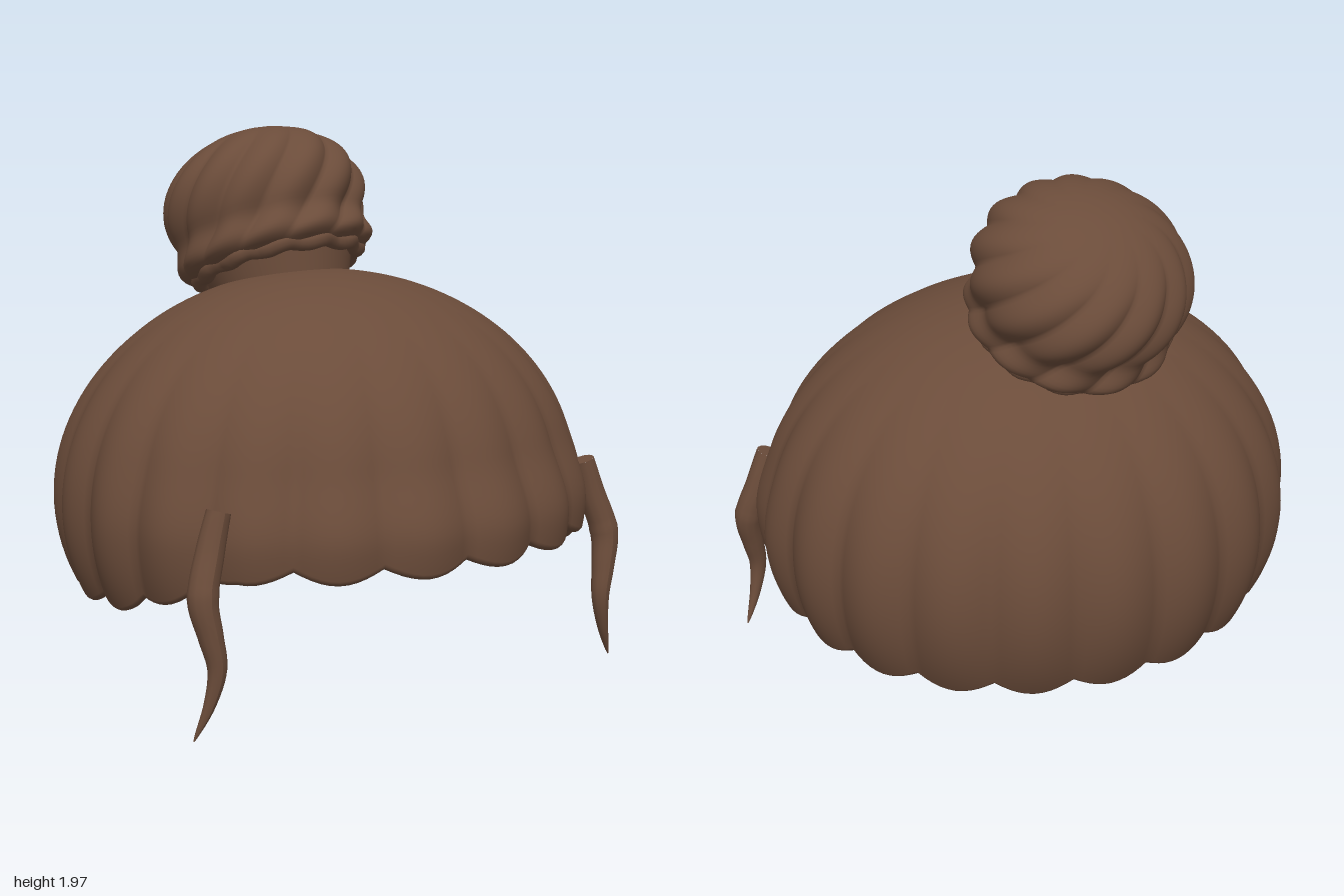
import * as THREE from 'three';

const hair = new THREE.MeshStandardMaterial({ color: 0x6b4c3a });
hair.name = 'brown hair';

// Smooth surface closed around y; rows run from top to bottom, columns anticlockwise from the front
function gridSurface(rows, cols, point) {
  const pos = [], index = [];
  for (let i = 0; i <= rows; i++) {
    for (let j = 0; j < cols; j++) pos.push(...point(i / rows, (j / cols) * Math.PI * 2));
  }
  for (let i = 0; i < rows; i++) {
    for (let j = 0; j < cols; j++) {
      const k = (j + 1) % cols;
      const a = i * cols + j, b = a + cols, c = (i + 1) * cols + k, d = i * cols + k;
      index.push(a, b, c, a, c, d);
    }
  }
  const g = new THREE.BufferGeometry();
  g.setAttribute('position', new THREE.Float32BufferAttribute(pos, 3));
  g.setIndex(index);
  g.computeVertexNormals();
  return g;
}

// Height of the hairline by angle from the front, in degrees
const hairline = [[0, 0.55], [47, 0.55], [60, 0.47], [75, 0.39], [90, 0.36], [180, 0.33]];
function hairlineY(theta) {
  const deg = THREE.MathUtils.radToDeg(Math.min(theta, Math.PI * 2 - theta));
  for (let i = 1; i < hairline.length; i++) {
    const [a0, y0] = hairline[i - 1], [a1, y1] = hairline[i];
    if (deg <= a1) return y0 + ((y1 - y0) * (deg - a0)) / (a1 - a0);
  }
  return hairline[hairline.length - 1][1];
}

// Hollow cap: lobed outside, rounded scalloped rim, smooth inside
function capPoint(v, theta) {
  const thick = 0.05, centreY = 0.65, height = 0.81;
  const lobe = Math.abs(Math.sin(theta * 10));
  const rimY = hairlineY(theta) - 0.045 * lobe;
  const rimPhi = Math.acos((rimY + 0.025 - centreY) / height);
  let phi, inset;
  if (v < 0.55) {
    phi = rimPhi * (v / 0.55);
    inset = 0;
  } else if (v < 0.7) {
    const a = ((v - 0.55) / 0.15) * Math.PI;
    phi = rimPhi + 0.03 * Math.sin(a);
    inset = (thick / 2) * (1 - Math.cos(a));
  } else {
    phi = rimPhi * (1 - (v - 0.7) / 0.3);
    inset = thick;
  }
  const s = Math.sin(phi), y = centreY + (height - inset) * Math.cos(phi);
  const front = Math.max(0, Math.cos(theta));
  const flare = 1 + 0.055 * front * (1 - THREE.MathUtils.smoothstep(y, 0.62, 0.88));
  const groove = 1 - 0.04 * Math.pow(Math.max(s, 0), 4) * (1 - lobe) * (1 - inset / thick * 0.6);
  const rz = Math.cos(theta) > 0 ? 0.885 : 0.93;
  const r = s * flare * groove;
  return [Math.sin(theta) * r * (1 - inset), y, Math.cos(theta) * r * (rz - inset)];
}

// Bun: flattened ball with twisted lobes, cut off at the base
function bunPoint(v, theta) {
  const phi = v * 2.62;
  const lobe = Math.abs(Math.sin(theta * 6.5 * 12 / 13));
  const s = Math.sin(phi);
  const r = 0.39 * s * (1 - 0.075 * Math.min(1, s * s * 1.3) * (1 - lobe));
  const turn = theta - phi * 0.6;
  const pinch = 1 + 0.5 * THREE.MathUtils.smoothstep(phi, 1.9, 2.62);
  return [Math.sin(turn) * r * pinch, 0.285 * Math.cos(phi), Math.cos(turn) * r * pinch];
}

// Wavy roll around the base of the bun
function makeBand() {
  const pts = [];
  for (let i = 0; i < 48; i++) {
    const a = (i / 48) * Math.PI * 2;
    const r = 0.295 + 0.008 * Math.cos(a * 12);
    pts.push(new THREE.Vector3(Math.sin(a) * r, 0.006 * Math.sin(a * 12), Math.cos(a) * r));
  }
  return new THREE.TubeGeometry(new THREE.CatmullRomCurve3(pts, true), 120, 0.034, 10, true);
}

// Loose wavy lock, tapered to a point, with a flat cap at its root
function makeLock(side) {
  const curve = new THREE.CatmullRomCurve3([
    [0.785, 0.76, 0.57], [0.825, 0.63, 0.58], [0.868, 0.48, 0.605], [0.85, 0.36, 0.622],
    [0.832, 0.25, 0.632], [0.855, 0.13, 0.622], [0.905, 0.005, 0.6],
  ].map(([x, y, z]) => new THREE.Vector3(x * side, y, z)));
  const segs = 40, radial = 12;
  const g = new THREE.TubeGeometry(curve, segs, 1, radial, false);
  const p = g.attributes.position, q = new THREE.Vector3();
  for (let i = 0; i <= segs; i++) {
    const t = i / segs, c = curve.getPointAt(t);
    const radius = t < 0.35 ? 0.042 + 0.01 * Math.sin((t / 0.35) * Math.PI / 2)
      : 0.052 * Math.pow(1 - (t - 0.35) / 0.65, 0.75) + 0.002;
    for (let j = 0; j <= radial; j++) {
      const k = i * (radial + 1) + j;
      q.fromBufferAttribute(p, k).sub(c).multiplyScalar(radius).add(c);
      p.setXYZ(k, q.x, q.y, q.z);
    }
  }
  g.computeVertexNormals();
  const cap = new THREE.CircleGeometry(0.042, radial);
  const back = curve.getTangentAt(0).negate();
  cap.applyQuaternion(new THREE.Quaternion().setFromUnitVectors(new THREE.Vector3(0, 0, 1), back));
  cap.translate(...curve.getPointAt(0).toArray());
  return [g, cap];
}

export function createModel() {
  const model = new THREE.Group();
  model.name = 'hairstyle';
  const add = (parent, name, geometry) => {
    const mesh = new THREE.Mesh(geometry, hair);
    mesh.name = name;
    parent.add(mesh);
    return mesh;
  };

  add(model, 'hairCap', gridSurface(80, 200, capPoint));

  // Top knot, leaning back
  const topKnot = new THREE.Group();
  topKnot.name = 'topKnot';
  topKnot.position.set(0, 1.67, -0.38);
  topKnot.rotation.x = -0.41;
  model.add(topKnot);
  add(topKnot, 'bun', gridSurface(40, 144, bunPoint));
  add(topKnot, 'bunBand', makeBand()).position.y = -0.235;
  add(topKnot, 'bunNeck', new THREE.CylinderGeometry(0.285, 0.24, 0.14, 40)).position.y = -0.3;

  // Loose locks in front of the ears
  for (const [name, side] of [['leftLock', 1], ['rightLock', -1]]) {
    const lock = new THREE.Group();
    lock.name = name;
    model.add(lock);
    const [strand, root] = makeLock(side);
    add(lock, 'strand', strand);
    add(lock, 'strandRoot', root);
  }
  return model;
}
